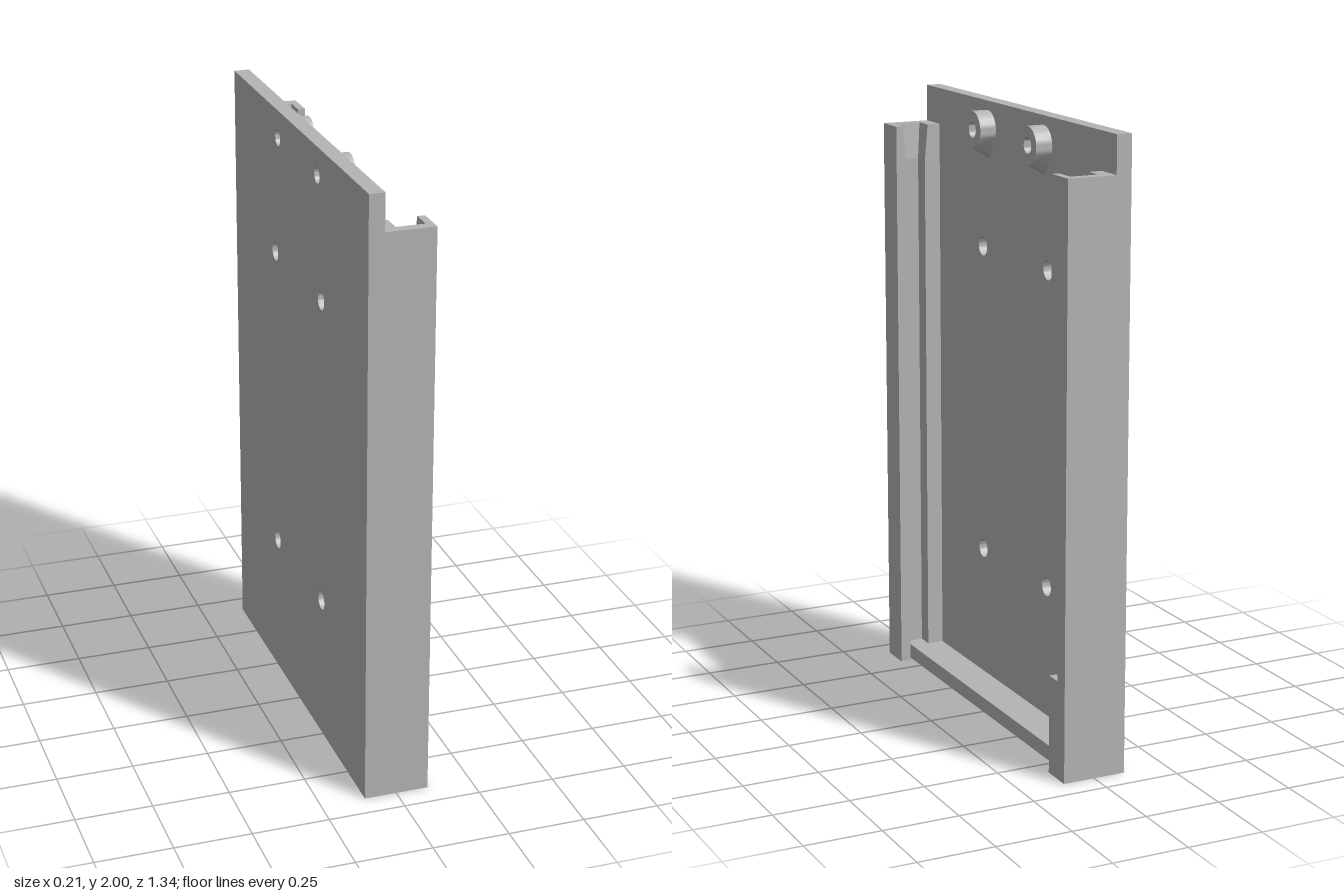
import * as THREE from 'three';
import { toCreasedNormals } from 'three/addons/utils/BufferGeometryUtils.js';

const BACK = -0.105, FACE = -0.055, FRONT = 0.105, HALF = 0.67;

const circlePath = (x, y, r) => new THREE.Path().absarc(x, y, r, 0, Math.PI * 2, true);

// C-shaped rail section as [x, distance from the centre]
function railProfile(block, lip, flare = 0) {
  const s0 = 0 - flare, s1 = 0.07 + flare, wall = 0.625 + flare;
  return [[FACE, HALF], [FACE, block], [s0, block], [s0, wall],
    [s1, wall], [s1, lip], [FRONT, lip], [FRONT, HALF]];
}

// Extrudes the rail upwards, changing its section from level to level
function railGeometry(side, levels) {
  const toPoints = (p) => p.map(([x, z]) => new THREE.Vector2(x, -side * z));
  const sections = levels.map((l) => toPoints(l.profile));
  const steps = levels.length - 1;
  const geo = new THREE.ExtrudeGeometry(new THREE.Shape(sections[0]), { depth: steps, steps, bevelEnabled: false });
  const pos = geo.attributes.position;
  for (let i = 0; i < pos.count; i++) {
    const k = Math.round(pos.getZ(i));
    const j = sections[0].findIndex((p) => Math.hypot(p.x - pos.getX(i), p.y - pos.getY(i)) < 1e-4);
    pos.setXYZ(i, sections[k][j].x, sections[k][j].y, levels[k].y);
  }
  geo.rotateX(-Math.PI / 2);
  geo.computeVertexNormals();
  return geo;
}

// Round lug on a teardrop foot that tapers back into the plate
function lugGeometry() {
  const R = 0.06, r = 0.028, drop = 0.067, depth = 0.055, hole = 0.026;
  const outline = [];
  for (let i = 0; i < 48; i++) {
    const t = (i / 48) * Math.PI * 2, c = Math.cos(t), s = Math.sin(t);
    const low = r - drop * s > R;
    outline.push(new THREE.Vector2((low ? r : R) * c, low ? r * s - drop : R * s));
  }
  const shape = new THREE.Shape(outline);
  shape.holes.push(circlePath(0, 0, hole));
  const geo = new THREE.ExtrudeGeometry(shape, { depth, bevelEnabled: false, curveSegments: 16 });
  const pos = geo.attributes.position;
  for (let i = 0; i < pos.count; i++) {
    const x = pos.getX(i), y = pos.getY(i), d = Math.hypot(x, y);
    if (pos.getZ(i) > depth / 2 && d > hole * 1.2) pos.setXY(i, (x / d) * R, (y / d) * R);
  }
  geo.rotateY(Math.PI / 2);
  geo.computeVertexNormals();
  return toCreasedNormals(geo, 0.6);
}

export function createModel() {
  const model = new THREE.Group();
  model.name = 'wallHolder';
  const grey = new THREE.MeshStandardMaterial({ color: 0xb4b4b4 });
  grey.name = 'grey';
  const add = (name, geo, x = 0, y = 0, z = 0) => {
    const mesh = new THREE.Mesh(geo, grey);
    mesh.name = name;
    mesh.position.set(x, y, z);
    model.add(mesh);
  };

  // Back plate with four screw holes and two lug holes
  const plate = new THREE.Shape([[-HALF, 0], [HALF, 0], [HALF, 2], [-HALF, 2]].map((p) => new THREE.Vector2(...p)));
  const lugs = [0.198, -0.197], lugY = 1.91;
  for (const z of [0.235, -0.232]) for (const y of [0.487, 1.52]) plate.holes.push(circlePath(-z, y, 0.031));
  for (const z of lugs) plate.holes.push(circlePath(-z, lugY, 0.026));
  const plateGeo = new THREE.ExtrudeGeometry(plate, { depth: FACE - BACK, bevelEnabled: false, curveSegments: 16 });
  plateGeo.rotateY(Math.PI / 2);
  add('backPlate', toCreasedNormals(plateGeo, 0.6), BACK);

  // Plain rail, flared at the top of its slot
  const plain = railProfile(0.57, 0.566);
  add('plainRail', railGeometry(1, [
    { y: 0, profile: plain },
    { y: 1.76, profile: plain },
    { y: 1.88, profile: railProfile(0.57, 0.566, 0.011) },
  ]));

  // Rail whose lip is cut away along the middle
  const full = railProfile(0.58, 0.566), cut = railProfile(0.58, 0.62);
  add('notchedRail', railGeometry(-1, [
    { y: 0, profile: full },
    { y: 0.32, profile: full },
    { y: 0.32, profile: cut },
    { y: 1.367, profile: cut },
    { y: 1.421, profile: full },
    { y: 1.76, profile: full },
    { y: 1.88, profile: railProfile(0.58, 0.566, 0.011) },
  ]));

  // Bottom stop between the rails
  add('bottomLedge', new THREE.BoxGeometry(0.115, 0.05, 1.25), 0.0025, 0.025, 0);

  // Lugs near the top edge
  for (const z of lugs) add('lug', lugGeometry(), FACE, lugY, z);

  return model;
}
